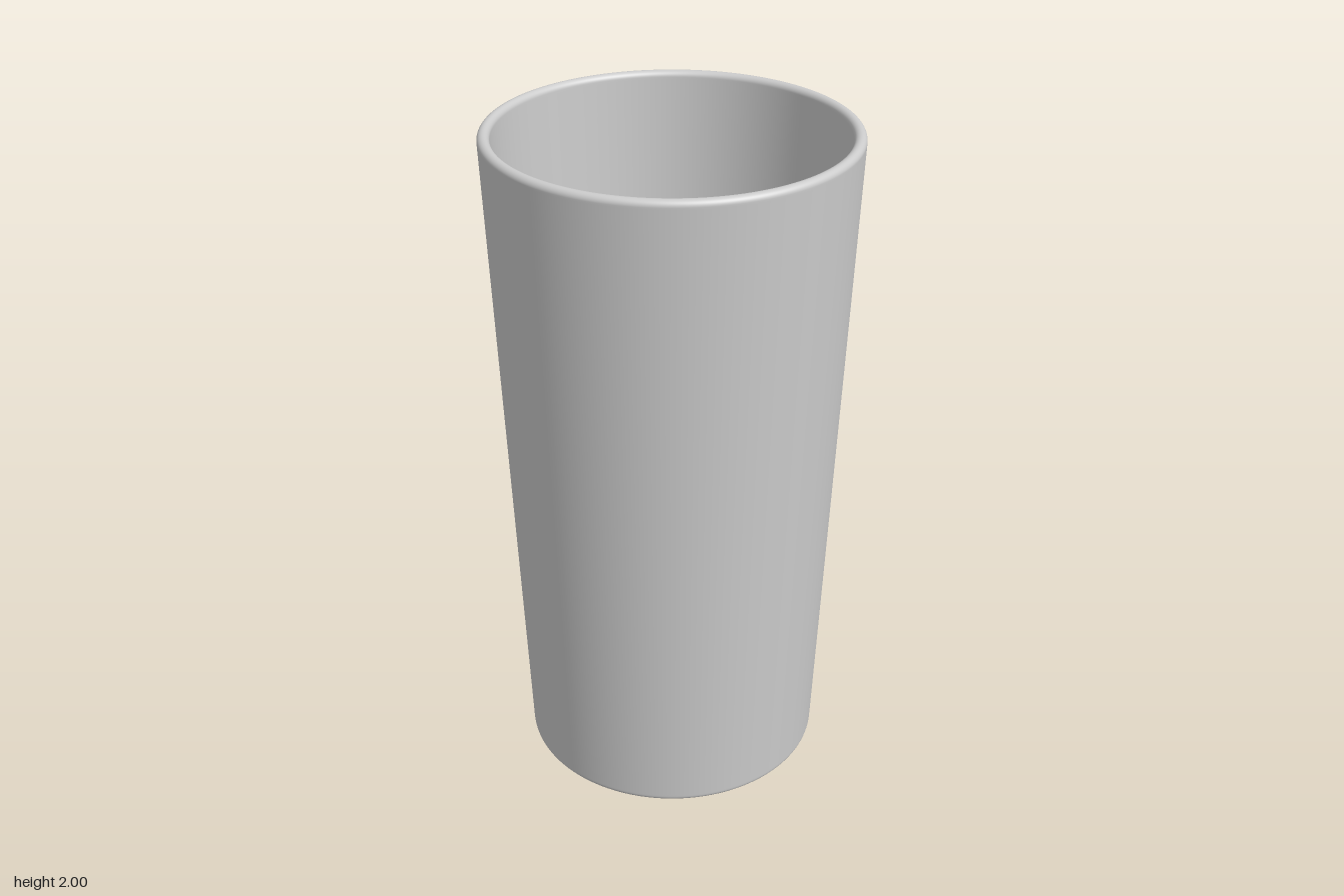
import * as THREE from 'three';

export function createModel() {
  const group = new THREE.Group();
  const floorY = 0.04, rim = 0.0175;

  // Half section: underside, outer wall, rounded rim, inner wall, floor
  const p = new THREE.Path();
  p.moveTo(0, 0);
  p.lineTo(0.432, 0);
  p.lineTo(0.437, 0);
  p.quadraticCurveTo(0.452, 0, 0.4535, 0.016);
  p.lineTo(0.4537, 0.021);
  p.lineTo(0.5298, 1.9775);
  p.lineTo(0.53, 2 - rim);
  p.absarc(0.53 - rim, 2 - rim, rim, 0, Math.PI, false);
  p.lineTo(0.4948, 1.9775);
  p.lineTo(0.4206, floorY + 0.023);
  p.lineTo(0.4204, floorY + 0.018);
  p.quadraticCurveTo(0.4195, floorY, 0.403, floorY);
  p.lineTo(0.398, floorY);
  p.lineTo(0, floorY);

  // Drop coincident points so the normals stay clean
  const points = p.getPoints(10).filter((v, i, a) => i === 0 || v.distanceTo(a[i - 1]) > 1e-5);

  const cup = new THREE.Mesh(
    new THREE.LatheGeometry(points, 128),
    new THREE.MeshStandardMaterial({ color: 0xcccccc })
  );
  cup.name = 'cup';
  group.add(cup);
  return group;
}
